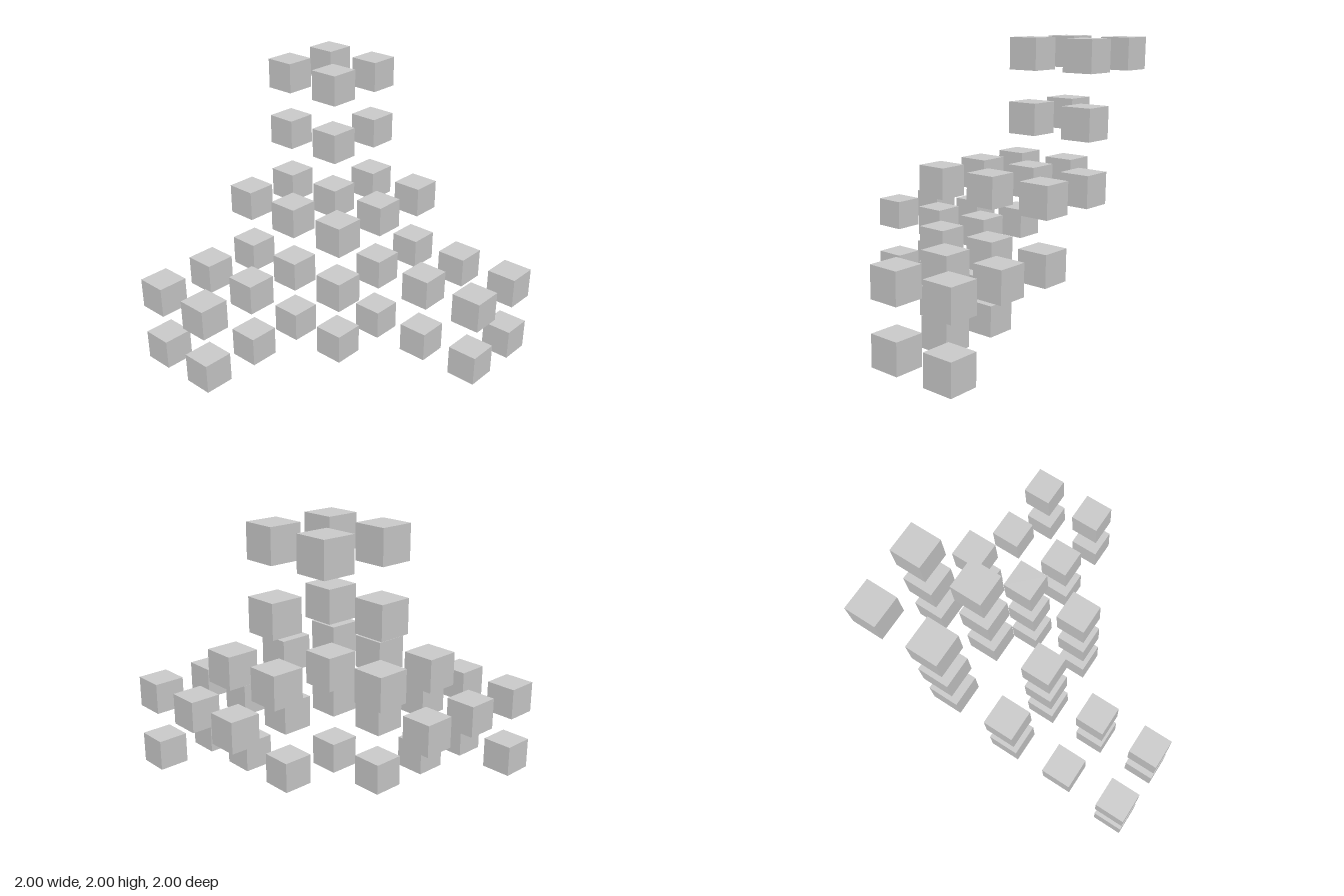
import * as THREE from 'three';

const CELLS = 5;               // lattice positions per axis
const SIZE = 2 / 9;            // cube edge; gaps are the same width
const STEP = SIZE * 2;

// Three 2x2 arms meet in a 3x3x3 block; the inner corner is hollowed out,
// leaving only the end cube of each arm's inner edge.
function isFilled(i, j, k) {
  const [low, mid, high] = [i, j, k].sort((a, b) => a - b);
  if (high < 2) return false;               // hollow corner
  if (high > 2 && mid > 1) return false;    // outside the arms
  if (low === 0 && mid === 0) return high === CELLS - 1;
  return true;
}

export function createModel() {
  const model = new THREE.Group();
  model.name = 'cubeLattice';
  const material = new THREE.MeshStandardMaterial({ color: 0xcccccc, flatShading: true });
  const geometry = new THREE.BoxGeometry(SIZE, SIZE, SIZE);

  // One group for each arm and one for the block where they meet
  const groups = {};
  for (const name of ['core', 'sideArm', 'uprightArm', 'frontArm']) {
    groups[name] = new THREE.Group();
    groups[name].name = name;
    model.add(groups[name]);
  }

  // Indices count away from the bottom, back, left corner (+x, y = 0, -z)
  for (let i = 0; i < CELLS; i++) {
    for (let j = 0; j < CELLS; j++) {
      for (let k = 0; k < CELLS; k++) {
        if (!isFilled(i, j, k)) continue;
        const cube = new THREE.Mesh(geometry, material);
        cube.name = 'cube';
        cube.position.set(1 - SIZE / 2 - i * STEP, SIZE / 2 + j * STEP, -1 + SIZE / 2 + k * STEP);
        const part = i > 2 ? 'sideArm' : j > 2 ? 'uprightArm' : k > 2 ? 'frontArm' : 'core';
        groups[part].add(cube);
      }
    }
  }
  return model;
}
